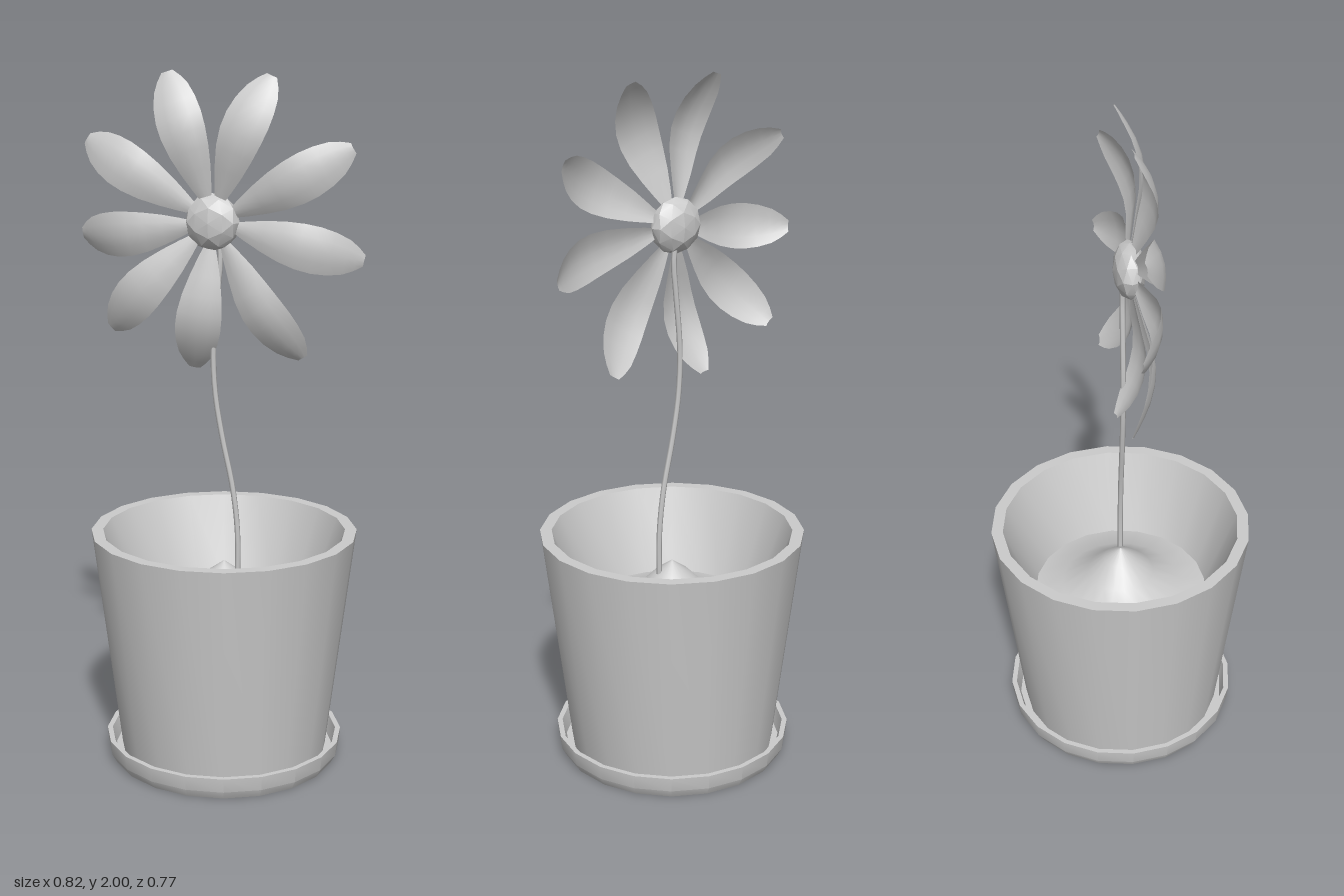
import * as THREE from 'three';
import { toCreasedNormals } from 'three/addons/utils/BufferGeometryUtils.js';

const material = new THREE.MeshStandardMaterial({ color: 0xcccccc });
const thinMaterial = new THREE.MeshStandardMaterial({ color: 0xcccccc, side: THREE.DoubleSide });

const POT_X = 0.013;
const HEAD = { x: -0.015, y: 1.585, z: 0.02 };

function addMesh(parent, name, geometry, mat = material) {
  const mesh = new THREE.Mesh(geometry, mat);
  mesh.name = name;
  parent.add(mesh);
  return mesh;
}

// Twenty-sided turned part from [radius, height] pairs, smooth around, sharp at its edges
function turned(profile) {
  const points = profile.map(([r, y]) => new THREE.Vector2(r, y));
  return toCreasedNormals(new THREE.LatheGeometry(points, 20), 0.5);
}

// Petal centre line: x = half width, y = distance from the flower centre, z = bow
const petalRib = new THREE.CatmullRomCurve3([
  [0.01, 0.05, 0.025],
  [0.04, 0.14, 0.048],
  [0.062, 0.24, 0.068],
  [0.064, 0.32, 0.055],
  [0.046, 0.39, 0.02],
  [0.016, 0.43, -0.008],
].map((p) => new THREE.Vector3(...p)));

// A plane shaped along the rib, its edges cupped towards the back
function petalGeometry(length, cup) {
  const geometry = new THREE.PlaneGeometry(2, 1, 4, 9);
  const position = geometry.attributes.position;
  const p = new THREE.Vector3();
  for (let i = 0; i < position.count; i++) {
    const side = position.getX(i);
    petalRib.getPoint(position.getY(i) + 0.5, p);
    position.setXYZ(i, side * p.x, p.y * length / 0.43, p.z - cup * side * side * p.x / 0.064);
  }
  geometry.computeVertexNormals();
  return geometry;
}

export function createModel() {
  const model = new THREE.Group();
  model.name = 'pottedFlower';

  // Saucer, pot and mounded soil
  const planter = new THREE.Group();
  planter.name = 'planter';
  planter.position.x = POT_X;
  model.add(planter);
  addMesh(planter, 'saucer', turned([
    [0, 0], [0.331, 0], [0.345, 0.025], [0.349, 0.067], [0.334, 0.067], [0.322, 0.02], [0, 0.02],
  ]));
  addMesh(planter, 'pot', turned([
    [0, 0.021], [0.304, 0.021], [0.386, 0.69], [0.352, 0.69], [0.26, 0.445],
  ]));
  addMesh(planter, 'soil', turned([
    [0.26, 0.445], [0.18, 0.46], [0.1, 0.51], [0.05, 0.56], [0, 0.595],
  ]));

  // Gently swaying stem
  const sway = new THREE.CatmullRomCurve3([
    [0.056, 0.54], [0.055, 0.69], [0.04, 0.82], [0.008, 0.97],
    [-0.013, 1.1], [-0.018, 1.23], [-0.004, 1.4], [0.003, 1.48], [-0.005, 1.57],
  ].map(([x, y]) => new THREE.Vector3(x, y, 0.004)));
  addMesh(model, 'stem', new THREE.TubeGeometry(sway, 28, 0.008, 6));

  // Flower head
  const flower = new THREE.Group();
  flower.name = 'flowerHead';
  flower.position.set(HEAD.x, HEAD.y, 0);
  model.add(flower);
  const core = addMesh(flower, 'flowerCentre',
    toCreasedNormals(new THREE.IcosahedronGeometry(0.08, 1), 0.35));
  core.scale.z = 0.56;
  core.position.z = HEAD.z;

  // Nine petals: [direction in degrees, length, sideways roll]
  const petals = [
    [108, 0.428, 0.15], [68, 0.43, -0.15], [28, 0.44, 0.1],
    [-13, 0.432, -0.1], [-57, 0.455, 0.12], [-99, 0.43, -0.12],
    [-135, 0.45, 0.1], [-173, 0.397, -0.1], [149, 0.432, 0.15],
  ];
  const ring = new THREE.Group();
  ring.name = 'petals';
  ring.rotation.set(0.04, 0.05, 0); // the whole ring leans slightly
  flower.add(ring);
  for (const [degrees, length, roll] of petals) {
    const arm = new THREE.Group();
    arm.name = 'petalArm';
    arm.rotation.z = THREE.MathUtils.degToRad(degrees - 90);
    ring.add(arm);
    const petal = addMesh(arm, 'petal', petalGeometry(length, 0.014), thinMaterial);
    petal.rotation.y = roll;
  }
  return model;
}
